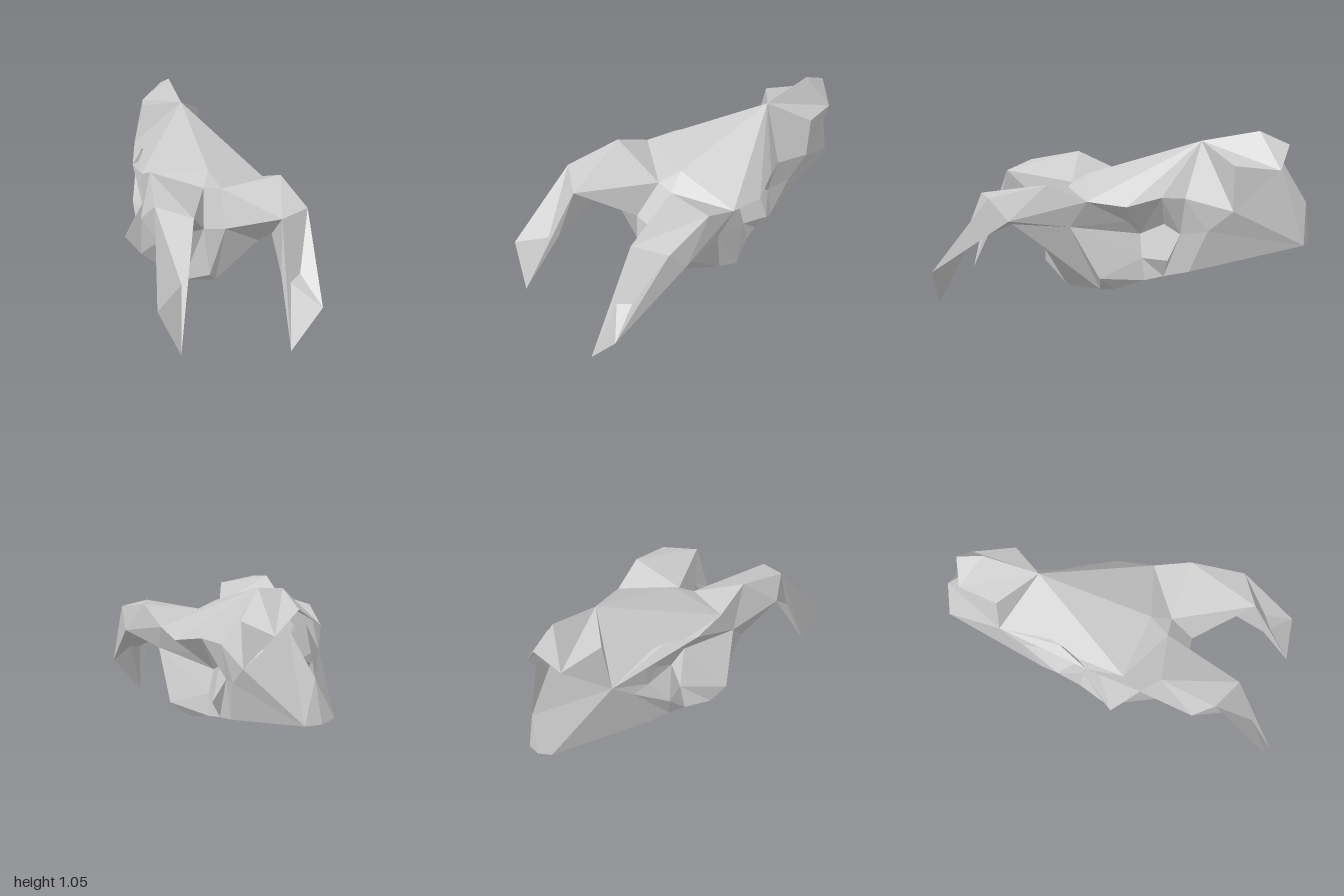
import * as THREE from 'three';

// The skull lies turned and slightly rolled: mirror plane dot(side, p) = offset
const side = new THREE.Vector3(0.79, -0.137, 0.597).normalize();
const offset = 0.007;
const V = (x, y, z) => new THREE.Vector3(x, y, z);
// Moves a point sideways to k times its distance from the plane
const inset = (p, k) => p.clone().addScaledVector(side, (k - 1) * (p.dot(side) - offset));
const onPlane = p => inset(p, 0);
const mirror = p => inset(p, -1);

// Midline, from the back of the skull to the muzzle
const poll = onPlane(V(0.07, 0.78, 0.08));
const brow = onPlane(V(0.495, 0.987, -0.435));
const bridge = onPlane(V(0.70, 1.048, -0.69));
const noseTip = onPlane(V(0.785, 0.975, -0.835));
const muzzle = onPlane(V(0.823, 0.643, -0.93));
const muzzleLow = onPlane(V(0.80, 0.41, -0.972));
const occiput = onPlane(V(-0.155, 0.23, 0.27));

// One half: braincase
const hornIn = V(0.045, 0.70, 0.206);
const hornOut = V(0.42, 0.665, 0.255);
const templeTop = V(0.344, 0.516, 0.324);
const nape = V(0.155, 0.375, 0.405);
const crest = V(-0.05, 0.50, 0.305);
const jawCorner = V(0.44, 0.225, 0.185);
const base1 = V(0.007, 0.108, 0.20);
const base2 = V(0.33, 0.135, 0.13);
const base3 = V(0.404, 0.148, 0.078);
const base4 = V(0.46, 0.195, -0.088);

// One half: eye and the hollow behind it
const orbitBack = V(0.547, 0.64, 0.073);
const orbitTop = V(0.584, 0.685, -0.126);
const orbitFront = V(0.608, 0.675, -0.265);
const orbitPit = V(0.50, 0.52, -0.19);
const orbitLow = V(0.557, 0.464, -0.265);
const templeFront = V(0.42, 0.536, 0);
const templeMid = V(0.40, 0.456, -0.09);
const templeLow = V(0.44, 0.322, -0.08);
const cheekLow = V(0.566, 0.32, -0.18);

// One half: snout
const snoutTop = V(0.76, 0.608, -0.487);
const snoutRim = V(0.77, 0.865, -0.48);
const nasal = V(0.862, 0.838, -0.725);
const nostril = V(0.80, 0.87, -0.765);
const maxilla = V(0.672, 0.49, -0.375);
const jawBack = V(0.50, 0.217, -0.19);
const toothBack = V(0.58, 0.247, -0.31);
const toothFront = V(0.86, 0.40, -0.896);

// One half: horn
const hornRidge = V(0.31, 0.758, 0.45);
const bendOut = V(0.145, 0.678, 0.735);
const bendIn = V(-0.075, 0.68, 0.70);
const underOut = V(0.23, 0.553, 0.648);
const underIn = V(0.05, 0.504, 0.56);
const hornLow = V(-0.148, 0.375, 0.753);
const tipOut = V(-0.10, 0.23, 1.0);
const tip = V(-0.27, 0.0, 0.908);

// The shell is open underneath
const halfParts = {
  crown: [
    [poll, hornOut, brow], [poll, hornIn, hornOut],
    [brow, hornOut, orbitBack, orbitTop, orbitFront, snoutTop],
  ],
  // Hollow between the braincase and the eye
  temple: [
    [hornOut, templeTop, templeFront, orbitBack],
    [templeTop, jawCorner, templeLow, templeMid, templeFront],
    [orbitBack, templeFront, templeMid, orbitTop],
    [templeMid, templeLow, cheekLow],
    [jawCorner, base3, base4, templeLow],
    [templeLow, base4, jawBack, cheekLow],
  ],
  eyeSocket: [
    [orbitTop, orbitPit, orbitLow, orbitFront],
    [orbitTop, templeMid, orbitPit],
    [orbitPit, templeMid, cheekLow, orbitLow],
  ],
  cheek: [
    [orbitFront, orbitLow, maxilla, snoutTop],
    [orbitLow, cheekLow, jawBack, toothBack, maxilla],
  ],
  backOfSkull: [
    [templeTop, base2, jawCorner], [jawCorner, base2, base3],
    [templeTop, nape, base2], [nape, base1, base2],
    [nape, crest, base1], [crest, occiput, base1],
  ],
  nasalBone: [
    [brow, snoutRim, nasal], [brow, nasal, bridge], [bridge, nasal, noseTip],
    [brow, snoutTop, snoutRim], [snoutRim, snoutTop, nasal],
  ],
  upperJaw: [
    [toothFront, snoutTop, maxilla, toothBack],
    [toothFront, muzzle, nostril, snoutTop],
    [toothFront, muzzleLow, muzzle],
  ],
  horn: [
    [hornIn, hornRidge, hornOut], [hornIn, bendIn, hornRidge],
    [hornRidge, bendIn, bendOut], [hornRidge, bendOut, underOut],
    [hornOut, hornRidge, underOut, templeTop],
    [templeTop, underOut, underIn, nape],
    [hornIn, crest, bendIn], [crest, nape, underIn, bendIn],
    [bendIn, underIn, hornLow], [bendIn, hornLow, tip],
    [bendOut, bendIn, tip], [bendOut, tip, tipOut],
    [underOut, bendOut, tipOut, hornLow],
    [underOut, hornLow, underIn], [tipOut, tip, hornLow],
  ],
};

// Faces that cross the midline
const middle = [
  [poll, mirror(hornIn), hornIn],
  [hornIn, mirror(hornIn), mirror(crest), crest],
  [crest, mirror(crest), occiput],
  [base1, occiput, mirror(base1)],
];

const material = new THREE.MeshStandardMaterial({
  color: 0xcccccc, flatShading: true, side: THREE.DoubleSide,
});

// Each polygon becomes a fan of triangles
function facetMesh(name, polygons) {
  const points = [];
  for (const p of polygons)
    for (let i = 1; i < p.length - 1; i++) points.push(p[0], p[i], p[i + 1]);
  const geometry = new THREE.BufferGeometry().setFromPoints(points);
  geometry.computeVertexNormals();
  const mesh = new THREE.Mesh(geometry, material);
  mesh.name = name;
  return mesh;
}

export function createModel() {
  const group = new THREE.Group();
  group.name = 'hornedSkull';
  for (const [name, faces] of Object.entries(halfParts)) {
    const part = new THREE.Group();
    part.name = name;
    const flipped = faces.map(f => f.map(mirror).reverse());
    part.add(facetMesh(name + 'Left', faces), facetMesh(name + 'Right', flipped));
    group.add(part);
  }
  group.add(facetMesh('occipitalPlate', middle));
  return group;
}
